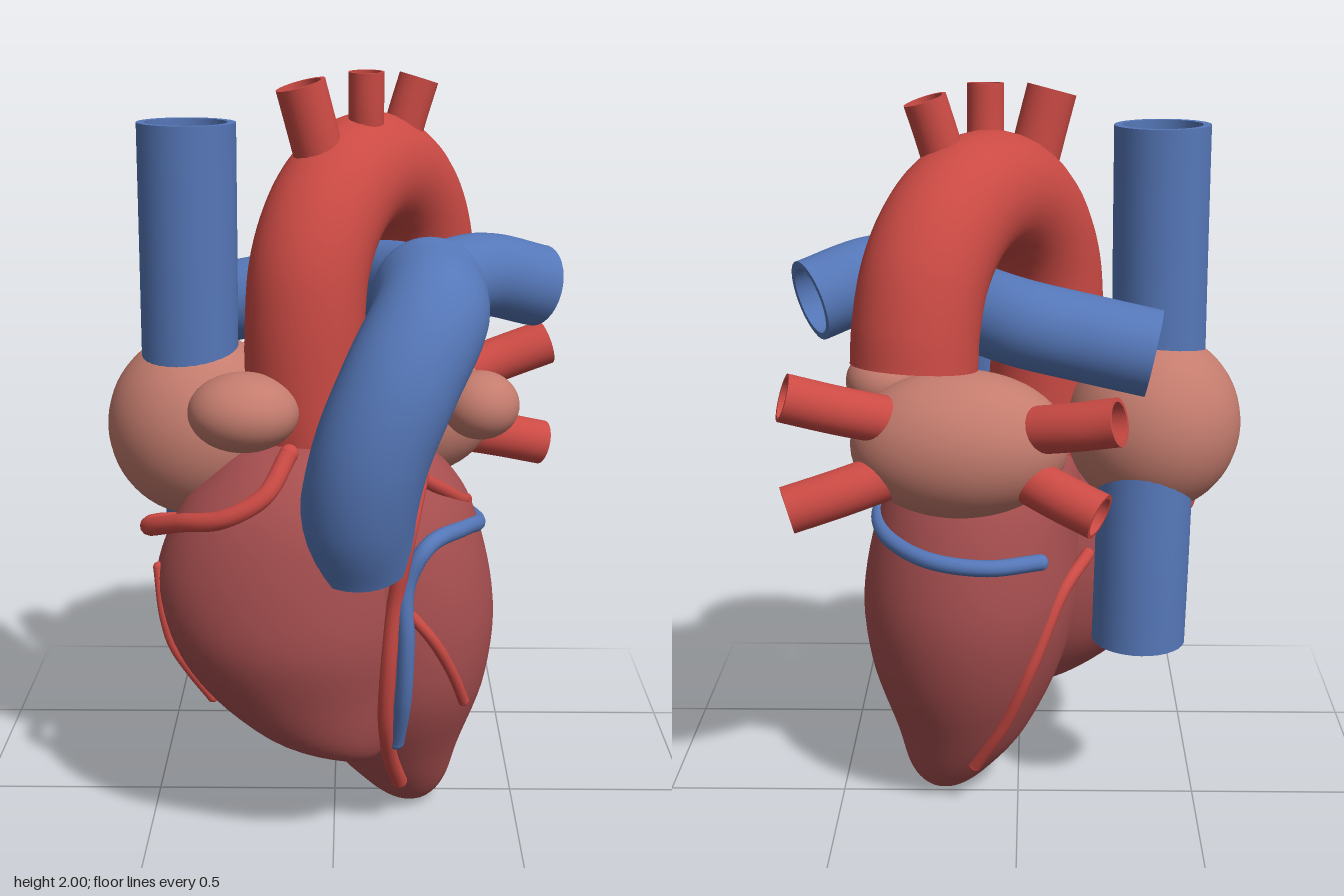
import * as THREE from 'three';

const mat = (name, color, side = THREE.FrontSide) => {
  const m = new THREE.MeshStandardMaterial({ color, side });
  m.name = name;
  return m;
};
const V = (p) => new THREE.Vector3(...p);

// Heart muscle cross-sections: [y, centre x, centre z, radius x, radius z]
const LEFT_VENTRICLE = [
  [0, 0.21, 0.04, 0, 0], [0.02, 0.208, 0.04, 0.06, 0.055], [0.08, 0.193, 0.042, 0.118, 0.11],
  [0.2, 0.16, 0.05, 0.185, 0.185], [0.4, 0.145, 0.06, 0.265, 0.285], [0.6, 0.13, 0.06, 0.3, 0.325],
  [0.8, 0.11, 0.07, 0.285, 0.31], [0.95, 0.08, 0.08, 0.255, 0.26], [1.05, 0.05, 0.1, 0.18, 0.18], [1.1, 0.04, 0.1, 0, 0],
];
const RIGHT_VENTRICLE = [
  [0.23, 0.06, 0.24, 0, 0], [0.245, 0.05, 0.24, 0.07, 0.07], [0.31, -0.02, 0.24, 0.17, 0.14],
  [0.45, -0.085, 0.225, 0.27, 0.21], [0.6, -0.12, 0.23, 0.32, 0.25], [0.75, -0.13, 0.23, 0.33, 0.25],
  [0.9, -0.12, 0.23, 0.29, 0.225], [1.0, -0.105, 0.22, 0.23, 0.19], [1.08, -0.09, 0.21, 0.14, 0.12], [1.11, -0.08, 0.21, 0, 0],
];

// Smooth closed body through elliptical sections
function loft(sections) {
  const N = 56, K = 48, pos = [], idx = [];
  const spline = (f) => new THREE.CatmullRomCurve3(sections.map(f), false, 'catmullrom', 0.5);
  const centre = spline((s) => V([s[1], s[0], s[2]]));
  const radius = spline((s) => V([s[3], s[4], 0]));
  for (let i = 0; i <= K; i++) {
    const c = centre.getPoint(i / K), r = radius.getPoint(i / K);
    for (let j = 0; j < N; j++) {
      const a = (j / N) * Math.PI * 2;
      pos.push(c.x + r.x * Math.cos(a), c.y, c.z + r.y * Math.sin(a));
      if (i < K) {
        const p = i * N + j, q = i * N + ((j + 1) % N);
        idx.push(p, p + N, q, q, p + N, q + N);
      }
    }
  }
  const g = new THREE.BufferGeometry();
  g.setAttribute('position', new THREE.Float32BufferAttribute(pos, 3));
  g.setIndex(idx);
  g.computeVertexNormals();
  return g;
}

// Point on the muscle surface at (x, y); side 1 is the front, -1 the back
function onMuscle(x, y, side = 1) {
  let best = -9;
  for (const s of [LEFT_VENTRICLE, RIGHT_VENTRICLE]) {
    const i = s.findIndex((e, k) => k > 0 && e[0] >= y && s[k - 1][0] <= y);
    if (i < 0) continue;
    const t = (y - s[i - 1][0]) / (s[i][0] - s[i - 1][0]);
    const [, cx, cz, rx, rz] = s[i].map((v, k) => s[i - 1][k] + (v - s[i - 1][k]) * t);
    const d = (x - cx) / rx;
    if (Math.abs(d) < 1) best = Math.max(best, side * cz + rz * Math.sqrt(1 - d * d));
  }
  return [x, y, side * (best + 0.008)];
}

export function createModel() {
  const heart = new THREE.Group();
  heart.name = 'heart';
  const red = mat('arteryRed', 0xcb4a44, THREE.DoubleSide);
  const blue = mat('veinBlue', 0x5577b8, THREE.DoubleSide);
  const muscle = mat('muscleRed', 0xa84f50);
  const salmon = mat('atriumSalmon', 0xc47c6e, THREE.DoubleSide);
  const ivory = mat('valveIvory', 0xd8d0be, THREE.DoubleSide);

  const add = (name, geo, m, parent = heart) => {
    const mesh = new THREE.Mesh(geo, m);
    mesh.name = name;
    parent.add(mesh);
    return mesh;
  };
  const blob = (name, c, r, m, theta = 0) => {
    const mesh = add(name, new THREE.SphereGeometry(1, 40, 28, 0, Math.PI * 2, theta, Math.PI - theta), m);
    mesh.position.set(...c);
    mesh.scale.set(...r);
  };

  // Hollow vessel: outer wall, inner wall and a rim at the open far end
  const pipe = (name, pts, r, m) => {
    const g = new THREE.Group();
    g.name = name;
    heart.add(g);
    const curve = new THREE.CatmullRomCurve3(pts.map(V));
    const n = pts.length * 12, inner = r * 0.83;
    add(name + 'Wall', new THREE.TubeGeometry(curve, n, r, 32), m, g);
    add(name + 'Lining', new THREE.TubeGeometry(curve, n, inner, 32), m, g);
    const rim = add(name + 'Rim', new THREE.RingGeometry(inner, r, 32), m, g);
    rim.position.copy(curve.getPoint(1));
    rim.quaternion.setFromUnitVectors(V([0, 0, 1]), curve.getTangent(1));
  };
  // Solid thin surface vessel with rounded ends
  const cord = (name, pts, r, m) => {
    add(name, new THREE.TubeGeometry(new THREE.CatmullRomCurve3(pts.map(V)), pts.length * 10, r, 12), m);
    for (const p of [pts[0], pts[pts.length - 1]]) blob(name + 'End', p, [r, r, r], m);
  };

  // Ventricles
  add('leftVentricle', loft(LEFT_VENTRICLE), muscle);
  add('rightVentricle', loft(RIGHT_VENTRICLE), muscle);

  // Atria and auricles
  blob('rightAtrium', [-0.36, 1.1, 0.045], [0.237, 0.245, 0.235], salmon, 0.42);
  blob('leftAtrium', [0.15, 1.09, -0.135], [0.285, 0.195, 0.185], salmon);
  blob('rightAuricle', [-0.225, 1.19, 0.27], [0.14, 0.1, 0.125], salmon);
  blob('leftAuricle', [0.375, 1.18, 0.155], [0.1, 0.088, 0.1], salmon);

  // Valve leaf discs
  for (const [name, p, r] of [['tricuspidValve', [-0.31, 0.98, 0.11], 0.1], ['mitralValve', [0.17, 1.04, 0.02], 0.08]]) {
    const disc = add(name, new THREE.CylinderGeometry(r, r, 0.009, 32), ivory);
    disc.position.set(...p);
    disc.rotation.z = 0.4;
  }

  // Aorta: straight rise, then an arch running to the back left
  const arch = [[-0.045, 1.0, 0.12], [-0.075, 1.22, 0.13]];
  for (let i = 0; i <= 8; i++) {
    const a = (i / 8) * 2.98, u = Math.cos(a);
    arch.push([0.083 - 0.157 * u, 1.4 + 0.34 * Math.sin(a), -0.135 + 0.265 * u]);
  }
  arch.push([0.243, 1.37, -0.407]);
  pipe('aorta', arch, 0.153, red);
  pipe('brachiocephalicArtery', [[-0.02, 1.72, 0.02], [-0.055, 1.86, 0.035], [-0.085, 1.975, 0.045]], 0.064, red);
  pipe('leftCarotidArtery', [[0.08, 1.75, -0.08], [0.08, 1.9, -0.06], [0.08, 2.0, -0.055]], 0.046, red);
  pipe('leftSubclavianArtery', [[0.15, 1.72, -0.2], [0.185, 1.86, -0.207], [0.22, 1.975, -0.215]], 0.053, red);

  // Pulmonary trunk and its two branches
  pipe('pulmonaryTrunk', [[0.06, 0.845, 0.335], [0.062, 0.97, 0.39], [0.095, 1.13, 0.41], [0.165, 1.3, 0.378],
    [0.235, 1.43, 0.28], [0.24, 1.465, 0.15]], 0.145, blue);
  blob('pulmonaryFork', [0.24, 1.465, 0.15], [0.145, 0.145, 0.13], blue);
  pipe('leftPulmonaryArtery', [[0.23, 1.48, 0.14], [0.38, 1.495, 0.03], [0.535, 1.45, -0.055]], 0.107, blue);
  pipe('rightPulmonaryArtery', [[0.23, 1.46, 0.12], [0.15, 1.455, -0.07], [0, 1.43, -0.2], [-0.17, 1.395, -0.225],
    [-0.34, 1.36, -0.24]], 0.11, blue);

  // Great veins
  pipe('superiorVenaCava', [[-0.375, 1.26, 0.07], [-0.372, 1.6, 0.07], [-0.37, 1.885, 0.07]], 0.125, blue);
  pipe('inferiorVenaCava', [[-0.34, 1.02, -0.04], [-0.335, 0.75, -0.055], [-0.33, 0.51, -0.06]], 0.127, blue);

  // Pulmonary veins
  const veins = [[0.585, 1.25, -0.265], [0.585, 0.955, -0.275], [-0.255, 1.2, -0.3], [-0.21, 0.95, -0.3]];
  veins.forEach((end, i) => {
    const side = i < 2 ? 1 : -1;
    const start = [0.15 + side * 0.13, 1.09 + (end[1] - 1.09) * 0.4, -0.17];
    const mid = start.map((v, k) => v * 0.45 + end[k] * 0.55 + (k === 2 ? -0.01 : 0));
    pipe((side > 0 ? 'left' : 'right') + (i % 2 ? 'Lower' : 'Upper') + 'PulmonaryVein', [start, mid, end], 0.062, red);
  });

  // Coronary vessels lying on the muscle
  cord('rightCoronaryArtery', [[-0.11, 1.1, 0.33], [-0.17, 1.01, 0.4], [-0.27, 0.955, 0.41], [-0.38, 0.925, 0.35],
    [-0.47, 0.88, 0.25], [-0.47, 0.85, 0.13], [-0.41, 0.82, 0.03]], 0.024, red);
  cord('marginalArtery', [[-0.448, 0.78, 0.28], onMuscle(-0.432, 0.66), onMuscle(-0.41, 0.58), onMuscle(-0.37, 0.51),
    onMuscle(-0.315, 0.43)], 0.015, red);
  cord('descendingArtery', [[0.22, 1.03, 0.28], [0.185, 0.9, 0.39], onMuscle(0.155, 0.72), onMuscle(0.14, 0.55),
    onMuscle(0.135, 0.38), onMuscle(0.15, 0.24), onMuscle(0.178, 0.13)], 0.021, red);
  cord('diagonalArtery', [onMuscle(0.18, 0.71), onMuscle(0.25, 0.62), onMuscle(0.3, 0.52), onMuscle(0.342, 0.4)], 0.015, red);
  cord('circumflexArtery', [[0.2, 1.04, 0.3], [0.27, 0.98, 0.23], [0.33, 0.92, 0.14], [0.35, 0.89, 0.05]], 0.018, red);
  cord('posteriorArtery', [onMuscle(-0.19, 0.74, -1), onMuscle(-0.12, 0.67, -1), onMuscle(-0.04, 0.48, -1),
    onMuscle(0.04, 0.28, -1), onMuscle(0.12, 0.13, -1)], 0.018, red);
  cord('greatCardiacVein', [onMuscle(0.165, 0.3), onMuscle(0.18, 0.45), onMuscle(0.185, 0.62), onMuscle(0.185, 0.77),
    [0.235, 0.865, 0.36], [0.335, 0.865, 0.21], [0.382, 0.835, 0.07], [0.345, 0.815, -0.1],
    [0.23, 0.8, -0.225], [0.08, 0.79, -0.255], [-0.06, 0.79, -0.21]], 0.022, blue);

  return heart;
}
